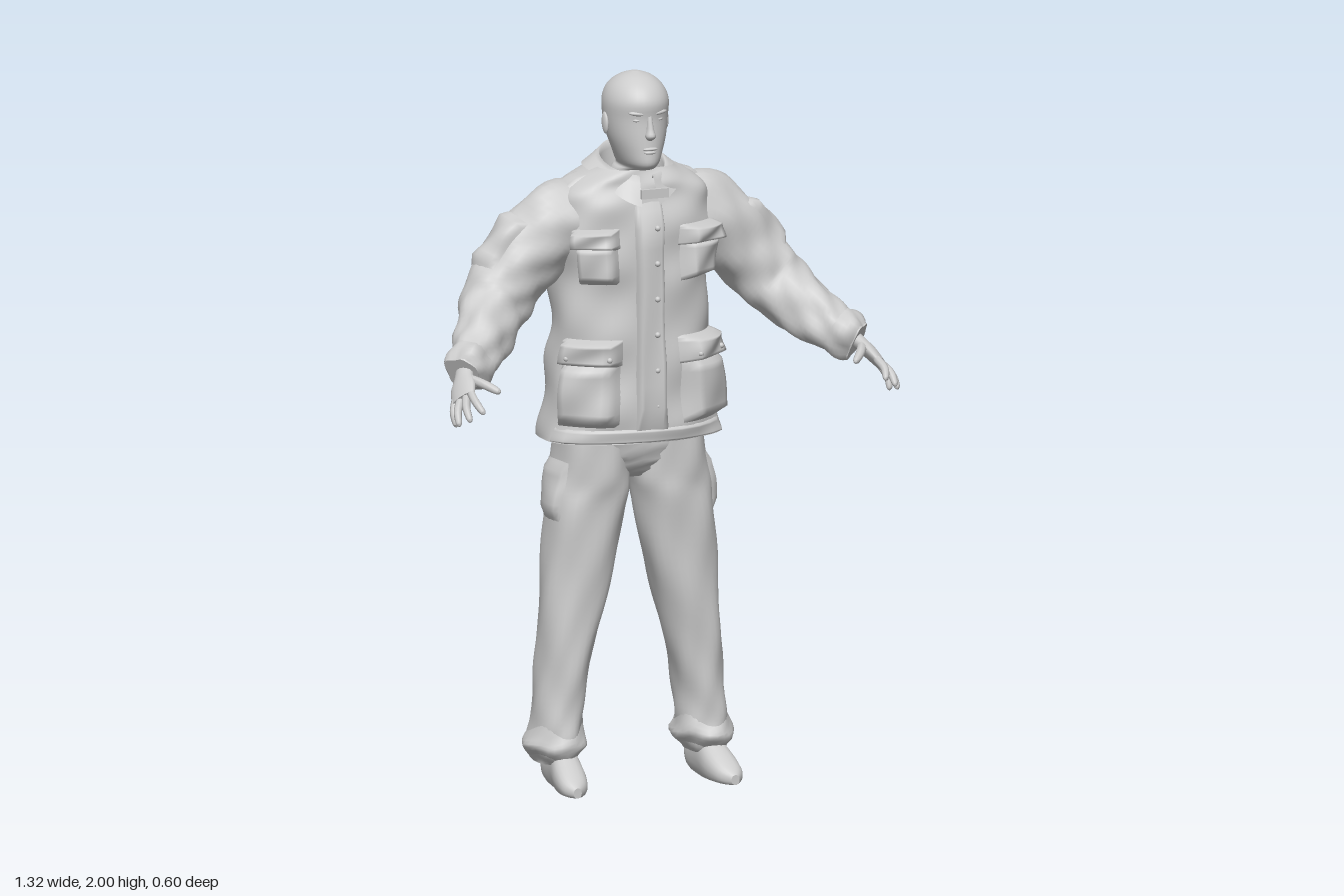
import * as THREE from 'three';

const cloth = new THREE.MeshStandardMaterial({ color: 0xcccccc, side: THREE.DoubleSide });
cloth.name = 'light grey';
const V = (x, y, z) => new THREE.Vector3(x, y, z);
const UP = V(0, 1, 0);
const HALF = Math.PI / 2;

// Surface from a rule fn(u, v); optionally closed around u and capped at both v ends
function grid(fn, nu, nv, closed = false, caps = false) {
  const pos = [], idx = [], cols = closed ? nu : nu + 1;
  for (let j = 0; j <= nv; j++) for (let i = 0; i < cols; i++) pos.push(...fn(i / nu, j / nv).toArray());
  for (let j = 0; j < nv; j++) for (let i = 0; i < nu; i++) {
    const a = j * cols + i, b = j * cols + (i + 1) % cols;
    idx.push(a, a + cols, b, b, a + cols, b + cols);
  }
  if (caps) for (const v of [0, 1]) {
    const base = pos.length / 3, centre = V(0, 0, 0);
    for (let i = 0; i < nu; i++) {
      const p = fn(i / nu, v);
      centre.addScaledVector(p, 1 / nu);
      pos.push(...p.toArray());
    }
    pos.push(...centre.toArray());
    for (let i = 0; i < nu; i++) {
      const a = base + i, b = base + (i + 1) % nu;
      idx.push(base + nu, ...(v ? [b, a] : [a, b]));
    }
  }
  const g = new THREE.BufferGeometry();
  g.setAttribute('position', new THREE.Float32BufferAttribute(pos, 3));
  g.setIndex(idx);
  g.computeVertexNormals();
  return g;
}

// Smooth sweep through stations [x, y, z, halfWidth, halfDepth]
function sweep(stations, { ref = V(1, 0, 0), dir = null, square = 1, crease = 0, floor = -1 } = {}) {
  const n = stations.length - 1;
  const at = (v) => {
    const f = Math.min(Math.max(v, 0), 1) * n, i = Math.min(Math.floor(f), n - 1), t = f - i;
    const s = (k) => stations[Math.min(Math.max(k, 0), n)];
    return s(i).map((p, k) => {
      const a = s(i - 1)[k], c = s(i + 1)[k], d = s(i + 2)[k];
      return p + 0.5 * t * (c - a + t * (2 * a - 5 * p + 4 * c - d + t * (3 * (p - c) + d - a)));
    });
  };
  const bend = (c) => Math.sign(c) * Math.abs(c) ** square;
  const point = (angle, v, off = 0) => {
    const s = at(v), p = V(s[0], s[1], s[2]);
    const T = dir ? dir.clone() : V(...at(v + 0.02)).sub(V(...at(v - 0.02))).normalize();
    const U = ref.clone().addScaledVector(T, -ref.dot(T)).normalize();
    const W = U.clone().cross(T);
    const c = Math.cos(angle), d = Math.sin(angle);
    const fold = crease * (Math.sin(5 * angle + 17 * v + 2 * s[0]) * Math.sin(13 * v + angle) +
      0.6 * Math.sin(3 * angle - 31 * v + 9 * s[0]));
    p.addScaledVector(U, bend(c) * s[3] + c * (off + fold)).addScaledVector(W, bend(d) * s[4] + d * (off + fold));
    p.y = Math.max(p.y, floor);
    return p;
  };
  const vAtY = (y) => {
    let lo = 0, hi = 1;
    for (let k = 0; k < 30; k++) { const m = (lo + hi) / 2; if (at(m)[1] < y) lo = m; else hi = m; }
    return lo;
  };
  const solid = (nu, nv, caps = true) => grid((u, v) => point(u * 2 * Math.PI, v), nu, nv, true, caps);
  return { point, vAtY, solid };
}

// Raised panel following a swept surface
function panel(s, t0, t1, v0, v1, d) {
  const edge = (x) => Math.min(1, 6 * Math.min(x, 1 - x));
  return grid((u, v) => s.point(t0 + (t1 - t0) * u, v0 + (v1 - v0) * v,
    -0.006 + (d + 0.006) * Math.min(edge(u), edge(v)) * (1 + 0.1 * Math.sin(7 * u + 5 * v))), 12, 12);
}

export function createModel() {
  const root = new THREE.Group();
  root.name = 'figure';
  const add = (name, geo, parent = root) => {
    const m = new THREE.Mesh(geo, cloth);
    m.name = name;
    parent.add(m);
    return m;
  };
  const ball = (name, x, y, z, a, b, c) => {
    const m = add(name, new THREE.SphereGeometry(1, 14, 10));
    m.position.set(x, y, z);
    m.scale.set(a, b, c);
    return m;
  };
  // Horizontal ring: height, half width, front z, back z
  const ring = ([y, a, f, b]) => [0, y, (f + b) / 2, a, (f - b) / 2];

  // Head and neck
  add('head', sweep([
    [1.64, 0.075, -0.01, -0.15], [1.72, 0.06, -0.01, -0.15], [1.738, 0.045, 0.035, -0.15],
    [1.755, 0.053, 0.054, -0.15], [1.79, 0.067, 0.053, -0.152], [1.83, 0.08, 0.05, -0.16],
    [1.88, 0.088, 0.047, -0.168], [1.925, 0.089, 0.051, -0.17], [1.962, 0.074, 0.03, -0.152],
    [1.988, 0.044, -0.008, -0.11], [2, 0.008, -0.05, -0.07]].map(ring), { dir: UP }).solid(32, 40));
  add('nose', sweep([[0, 1.823, 0.048, 0.006, 0.005], [0, 1.835, 0.05, 0.015, 0.02], [0, 1.855, 0.048, 0.01, 0.014],
    [0, 1.89, 0.043, 0.007, 0.008]], { dir: UP }).solid(12, 10));
  ball('upperLip', 0, 1.799, 0.05, 0.022, 0.005, 0.008);
  ball('lowerLip', 0, 1.789, 0.049, 0.018, 0.005, 0.008);
  for (const s of [-1, 1]) {
    const brow = ball('brow', s * 0.034, 1.898, 0.037, 0.024, 0.006, 0.007);
    brow.rotation.set(0, s * 0.3, s * 0.1);
    ball('eye', s * 0.033, 1.879, 0.033, 0.012, 0.005, 0.008).rotation.y = s * 0.3;
    ball('ear', s * 0.089, 1.86, -0.06, 0.008, 0.031, 0.018).rotation.x = -0.15;
  }

  // Jacket body, open at the hem
  const jacket = sweep([
    [0.975, 0.258, 0.06, -0.29], [1.03, 0.247, 0.062, -0.28], [1.11, 0.238, 0.06, -0.27], [1.2, 0.23, 0.057, -0.28],
    [1.29, 0.222, 0.055, -0.255], [1.39, 0.22, 0.052, -0.295], [1.47, 0.225, 0.052, -0.28], [1.55, 0.235, 0.05, -0.255],
    [1.62, 0.23, 0.04, -0.24], [1.67, 0.21, 0.03, -0.225], [1.705, 0.17, 0.018, -0.21], [1.735, 0.11, 0.008, -0.19]]
    .map(ring), { dir: UP, square: 0.82, crease: 0.005 });
  add('jacketBody', jacket.solid(56, 60, false));
  const onJacket = (name, s, t0, t1, y0, y1, d) => add(name, panel(jacket, ...(s > 0 ? [t0, t1] : [Math.PI - t1, Math.PI - t0]),
    jacket.vAtY(y0), jacket.vAtY(y1), d));
  onJacket('frontPlacket', 1, HALF - 0.14, HALF + 0.14, 0.98, 1.66, 0.02);
  onJacket('hemBand', 1, 0.02, Math.PI - 0.02, 0.975, 1.02, 0.008);
  for (const s of [-1, 1]) {
    onJacket('chestPocket', s, 0.62, 1.25, 1.42, 1.545, 0.036);
    onJacket('chestPocketFlap', s, 0.55, 1.28, 1.52, 1.58, 0.044);
    onJacket('lowerPocket', s, 0.3, 1.28, 1.02, 1.22, 0.036);
    onJacket('lowerPocketFlap', s, 0.26, 1.3, 1.19, 1.27, 0.044);
    const vFlap = jacket.vAtY(1.22);
    for (const t of [0.55, 1.12]) {
      const p = jacket.point(s > 0 ? t : Math.PI - t, vFlap, 0.042);
      ball('pocketButton', p.x, p.y, p.z, 0.008, 0.008, 0.008);
    }
  }
  for (let k = 0; k < 6; k++) ball('frontButton', 0.012, 1.08 + k * 0.1, 0.074, 0.008, 0.008, 0.008);

  // Fold-over collar with an open front
  add('collar', grid((u, v) => {
    const t = HALF + 0.22 + u * (2 * Math.PI - 0.44), front = (1 + Math.sin(t)) / 2;
    const w = 2 * v, k = w < 1 ? w : w - 1;
    const mix = (a, b, c) => w < 1 ? a + (b - a) * k : b + (c - b) * k;
    const r = mix(0.078, 0.09, 0.13 + 0.008 * Math.sin(4 * t));
    const y = mix(1.69, 1.79 - 0.07 * front, 1.738 - 0.1 * front ** 3);
    return V(r * Math.cos(t), y, -0.085 + Math.sin(t) * (r + 0.018 * front));
  }, 44, 8));
  add('collarTab', new THREE.BoxGeometry(0.08, 0.026, 0.012)).position.set(0.01, 1.675, 0.056);

  // Seat of the trousers
  const seat = sweep([[0.86, 0.05, -0.05, -0.16], [0.89, 0.15, -0.015, -0.215], [0.95, 0.207, 0.012, -0.245],
    [1.05, 0.215, 0.02, -0.25]].map(ring), { dir: UP, square: 0.85, crease: 0.004 });
  add('trouserSeat', seat.solid(36, 14));

  for (const s of [-1, 1]) {
    const side = s > 0 ? 'left' : 'right';
    const place = (list, shift = 0) => list.map(([x, ...rest]) => [s * (x + shift), ...rest]);

    // Sleeve
    const arm = new THREE.Group();
    arm.name = side + 'Arm';
    root.add(arm);
    const sleeve = sweep(place([[0.12, 1.6, -0.11, 0.085, 0.085], [0.2, 1.585, -0.105, 0.1, 0.115],
      [0.275, 1.53, -0.1, 0.096, 0.11], [0.35, 1.455, -0.095, 0.088, 0.103], [0.415, 1.375, -0.068, 0.085, 0.097],
      [0.47, 1.315, 0.0, 0.074, 0.085], [0.53, 1.262, 0.07, 0.062, 0.07], [0.588, 1.226, 0.12, 0.05, 0.053]]),
    { ref: V(0, 0, 1), crease: 0.006 });
    add('sleeve', sleeve.solid(28, 44), arm);
    const outer = s * HALF;
    add('sleevePocket', panel(sleeve, outer - 0.75, outer + 0.75, 0.27, 0.5, 0.014), arm);
    add('cuff', grid((u, v) => sleeve.point(u * 2 * Math.PI, 0.88 + 0.11 * v, 0.01 * Math.sin(Math.PI * v)), 24, 6, true), arm);
    add('epaulette', panel(jacket, ...(s > 0 ? [-0.25, 0.25] : [Math.PI - 0.25, Math.PI + 0.25]),
      jacket.vAtY(1.65), jacket.vAtY(1.72), 0.01), arm);

    // Hand
    const spread = V(s * -0.45, 0.4, 0.8).normalize();
    add('palm', sweep(place([[0.565, 1.25, 0.09, 0.028, 0.024], [0.59, 1.222, 0.135, 0.03, 0.02],
      [0.607, 1.2, 0.17, 0.042, 0.019], [0.621, 1.176, 0.208, 0.04, 0.014]]), { ref: spread }).solid(16, 12), arm);
    const tips = [[0.647, 1.103, 0.215], [0.655, 1.113, 0.255], [0.635, 1.13, 0.288], [0.6, 1.152, 0.302]];
    const finger = (name, a, b, r) => {
      const mid = a.clone().lerp(b, 0.55).add(V(s * 0.006, 0.006, 0));
      add(name, sweep([[...a, r, r], [...mid, r * 0.95, r * 0.95], [...a.clone().lerp(b, 0.92), r * 0.7, r * 0.7],
        [...b, r * 0.15, r * 0.15]], { ref: spread }).solid(8, 10), arm);
    };
    tips.forEach(([x, y, z], k) =>
      finger('finger', V(s * 0.618, 1.18, 0.2).addScaledVector(spread, (k - 1.5) * 0.02), V(s * x, y, z), 0.012));
    finger('thumb', V(s * 0.588, 1.222, 0.155), V(s * 0.53, 1.197, 0.25), 0.014);

    // Trouser leg
    const leg = new THREE.Group();
    leg.name = side + 'Leg';
    root.add(leg);
    const trouser = sweep(place([[0.218, 0.07, -0.095, 0.05, 0.08], [0.216, 0.11, -0.1, 0.074, 0.1],
      [0.212, 0.15, -0.1, 0.07, 0.1], [0.203, 0.25, -0.1, 0.066, 0.097], [0.183, 0.4, -0.098, 0.077, 0.1],
      [0.15, 0.6, -0.096, 0.098, 0.103], [0.126, 0.78, -0.096, 0.112, 0.108], [0.11, 0.88, -0.098, 0.108, 0.113],
      [0.108, 1.02, -0.1, 0.1, 0.112]], s < 0 ? 0.01 : 0), { dir: UP, square: 0.92, crease: 0.004 });
    add('trouserLeg', trouser.solid(32, 48), leg);
    const out = s > 0 ? 0 : Math.PI;
    add('thighPocket', panel(trouser, out - 0.65, out + 0.65, trouser.vAtY(0.74), trouser.vAtY(0.93), 0.012), leg);
    add('seatPocket', panel(trouser, -HALF - 0.45, -HALF + 0.45, trouser.vAtY(0.82), trouser.vAtY(0.94), 0.012), leg);
    add('ankleFold', grid((u, v) => {
      const t = u * 2 * Math.PI;
      return trouser.point(t, 0.07 + 0.2 * v + 0.025 * Math.sin(3 * t), 0.011 * Math.sin(Math.PI * v));
    }, 28, 6, true), leg);

    // Shoe with a flat underside
    add('shoe', sweep(place([[0.213, 0.07, -0.165, 0.018, 0.025], [0.214, 0.055, -0.142, 0.034, 0.052],
      [0.217, 0.057, -0.06, 0.04, 0.067], [0.224, 0.037, 0.01, 0.046, 0.05], [0.231, 0.022, 0.065, 0.038, 0.03],
      [0.235, 0.014, 0.096, 0.012, 0.014]]), { dir: V(0, 0, 1), ref: V(-1, 0, 0), square: 0.9, floor: 0 }).solid(20, 20), leg);
  }
  return root;
}
